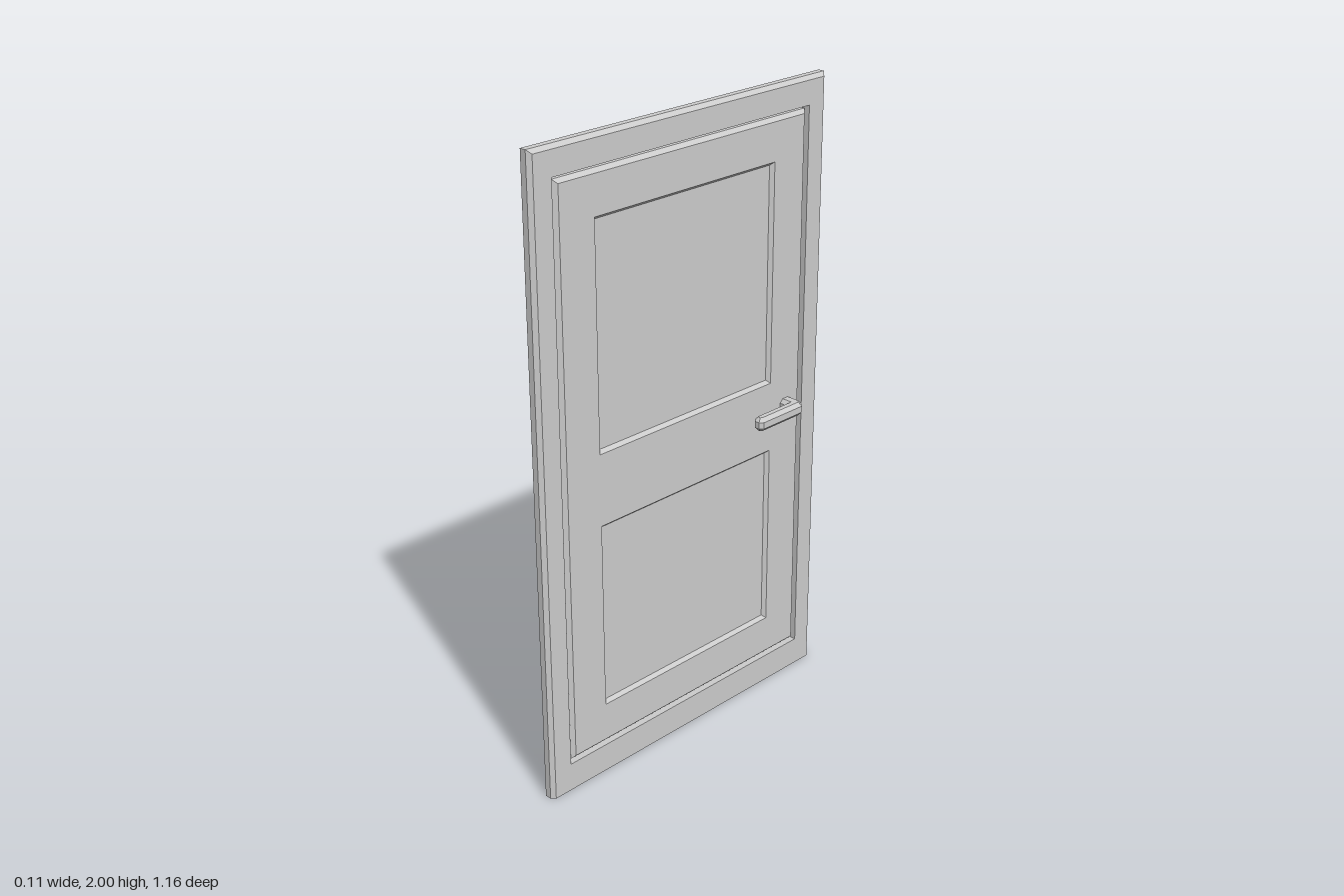
import * as THREE from 'three';

const material = new THREE.MeshStandardMaterial({ color: 0xcccccc, flatShading: true });

// Corners of a rectangle { hw: half width, y0, y1 }, moved inward by d
const corners = ({ hw, y0, y1 }, d = 0, flatBottom = false) => {
  const b = flatBottom ? y0 : y0 + d;
  return [[-hw + d, b], [hw - d, b], [hw - d, y1 - d], [-hw + d, y1 - d]]
    .map(([u, v]) => new THREE.Vector2(u, v));
};

// Upright plate facing +x, with rectangular holes. Each layer gives its x,
// the chamfer of the outer edge (edge) and the flare of the holes (flare).
function plate(name, outer, holes, layers, flatBottom = false) {
  const shape = new THREE.Shape(corners(outer));
  shape.holes = holes.map((h) => new THREE.Path(corners(h).reverse()));
  const steps = layers.length - 1;
  const geometry = new THREE.ExtrudeGeometry(shape, { depth: steps, steps, bevelEnabled: false });
  const pos = geometry.attributes.position;
  for (let i = 0; i < pos.count; i++) {
    const layer = layers[Math.round(pos.getZ(i))];
    const point = new THREE.Vector2(pos.getX(i), pos.getY(i));
    for (const rect of [outer, ...holes]) {
      const k = corners(rect).findIndex((c) => c.distanceTo(point) < 1e-4);
      if (k < 0) continue;
      const isOuter = rect === outer;
      const inset = isOuter ? layer.edge ?? 0 : -(layer.flare ?? 0);
      const moved = corners(rect, inset, isOuter && flatBottom)[k];
      pos.setXYZ(i, moved.x, moved.y, layer.x);
    }
  }
  geometry.rotateY(Math.PI / 2);
  geometry.computeVertexNormals();
  const mesh = new THREE.Mesh(geometry, material);
  mesh.name = name;
  return mesh;
}

// Bent lever handle: an L-shaped plan with chamfered edges
function createHandle() {
  const plan = [
    [-0.03, 0.45], [-0.03, 0.405], [0.015, 0.405], [0.015, 0.262], [0.027, 0.25],
    [0.043, 0.25], [0.053, 0.262], [0.053, 0.435], [0.038, 0.45],
  ].map(([x, y]) => new THREE.Vector2(x, y));
  const geometry = new THREE.ExtrudeGeometry(new THREE.Shape(plan), {
    depth: 0.021, bevelThickness: 0.012, bevelSize: 0.011, bevelOffset: -0.011, bevelSegments: 1,
  });
  geometry.rotateX(-Math.PI / 2);
  const mesh = new THREE.Mesh(geometry, material);
  mesh.name = 'handle';
  mesh.position.y = 0.967;
  return mesh;
}

export function createModel() {
  const model = new THREE.Group();
  model.name = 'door';

  // Surround: chamfered outside, square at the floor and in the opening
  const opening = { hw: 0.505, y0: 0.092, y1: 1.913 };
  model.add(plate('frame', { hw: 0.58, y0: 0, y1: 2 }, [opening], [
    { x: -0.055, edge: 0.012 }, { x: -0.043 }, { x: -0.022 }, { x: -0.01, edge: 0.012 },
  ], true));

  // Leaf: plain back, front face with two sunken panels
  const leaf = new THREE.Group();
  leaf.name = 'leaf';
  const leafRect = { hw: 0.496, y0: 0.101, y1: 1.904 };
  const panels = [
    { hw: 0.348, y0: 1.08, y1: 1.762 },
    { hw: 0.348, y0: 0.246, y1: 0.832 },
  ];
  leaf.add(plate('leafCore', leafRect, [], [
    { x: -0.055, edge: 0.012 }, { x: -0.043 }, { x: -0.022 },
  ]));
  leaf.add(plate('leafFace', leafRect, panels, [
    { x: -0.022 }, { x: -0.01, edge: 0.012, flare: 0.01 },
  ]));
  leaf.add(createHandle());
  model.add(leaf);
  return model;
}
